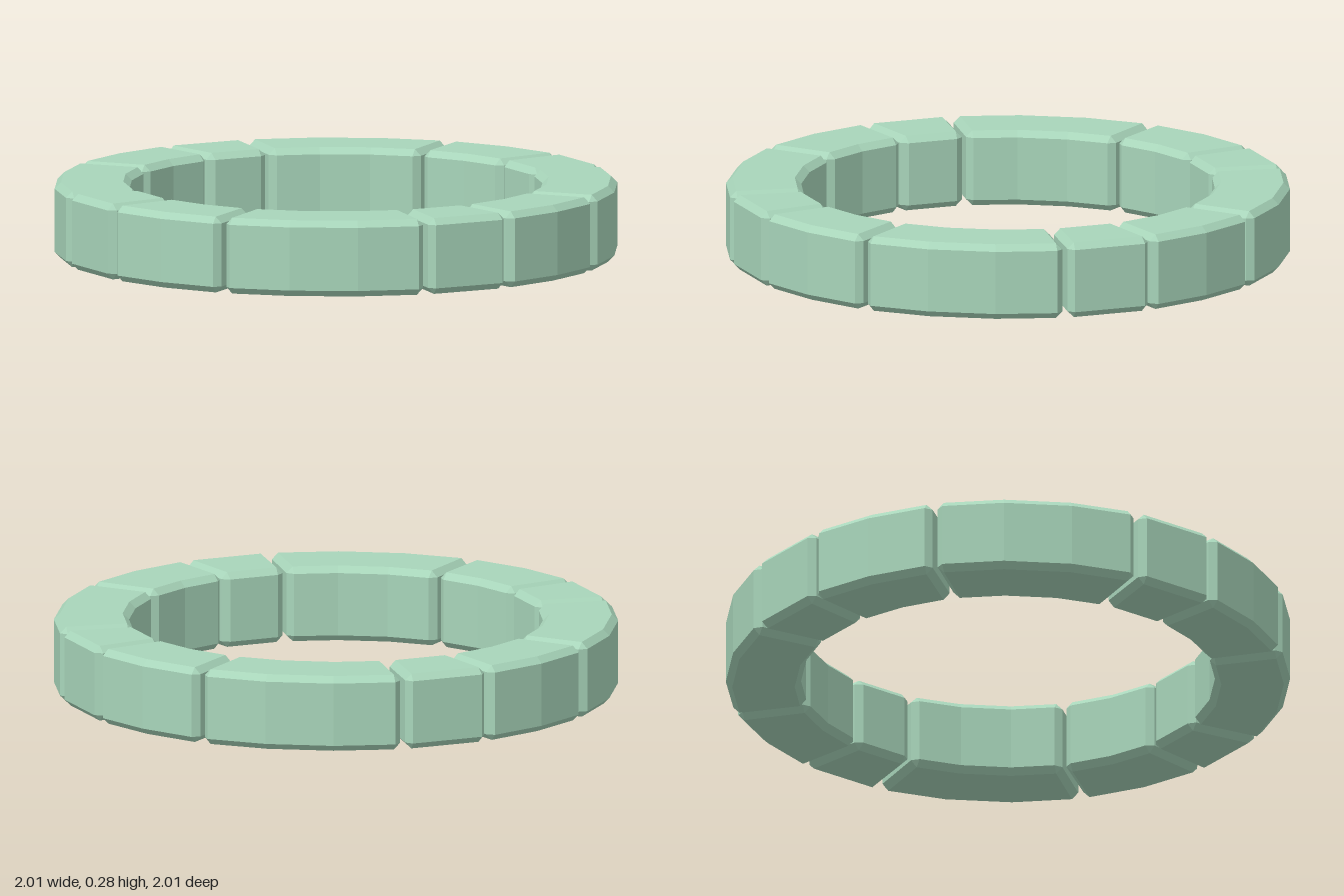
import * as THREE from 'three';

const INNER = 0.742, OUTER = 1.012, HEIGHT = 0.275, BEVEL = 0.023;
const rad = THREE.MathUtils.degToRad;

// One curved block with every edge bevelled, lofted through chamfered sections.
function blockGeometry(startDeg, endDeg, segments) {
  const b = BEVEL, i = INNER, o = OUTER, h = HEIGHT;
  const full = [[i, b], [i + b, 0], [o - b, 0], [o, b], [o, h - b], [o - b, h], [i + b, h], [i, h - b]];
  const corners = [[i + b, b], [o - b, b], [o - b, h - b], [i + b, h - b]];
  const cap = corners.flatMap((c) => [c, c]);

  // Ring of points at an angle (clockwise from the back), shifted along the tangent
  const ring = (section, deg, shift) => {
    const s = Math.sin(rad(deg)), c = Math.cos(rad(deg));
    return section.map(([r, y]) => new THREE.Vector3(r * s + shift * c, y, -r * c + shift * s));
  };

  const rings = [ring(cap, startDeg, 0), ring(full, startDeg, b)];
  for (let k = 1; k < segments; k++) {
    rings.push(ring(full, startDeg + ((endDeg - startDeg) * k) / segments, 0));
  }
  rings.push(ring(full, endDeg, -b), ring(cap, endDeg, 0));

  const points = [];
  const tri = (p, q, r) => {
    if (!p.equals(q) && !q.equals(r) && !r.equals(p)) points.push(p, q, r);
  };
  const quad = (p, q, r, s) => {
    tri(p, q, r);
    tri(p, r, s);
  };
  for (let j = 0; j < rings.length - 1; j++) {
    for (let k = 0; k < 8; k++) {
      const n = (k + 1) % 8;
      quad(rings[j][k], rings[j][n], rings[j + 1][n], rings[j + 1][k]);
    }
  }
  const first = rings[0], last = rings[rings.length - 1];
  quad(first[6], first[4], first[2], first[0]);
  quad(last[0], last[2], last[4], last[6]);

  const geometry = new THREE.BufferGeometry().setFromPoints(points);
  geometry.computeVertexNormals();
  return geometry;
}

export function createModel() {
  const group = new THREE.Group();
  group.name = 'stoneRing';
  const material = new THREE.MeshStandardMaterial({ color: 0xa8d5ba, flatShading: true });

  // Short, long and medium blocks repeat in each quarter of the ring
  const blocks = [
    ['shortBlock', blockGeometry(-9.3, 8.6, 1)],
    ['longBlock', blockGeometry(9.7, 51.5, 3)],
    ['mediumBlock', blockGeometry(52.6, 80.1, 2)],
  ];
  for (let quarter = 0; quarter < 4; quarter++) {
    for (const [name, geometry] of blocks) {
      const mesh = new THREE.Mesh(geometry, material);
      mesh.name = `${name}${quarter + 1}`;
      mesh.rotation.y = (-quarter * Math.PI) / 2;
      group.add(mesh);
    }
  }
  return group;
}
